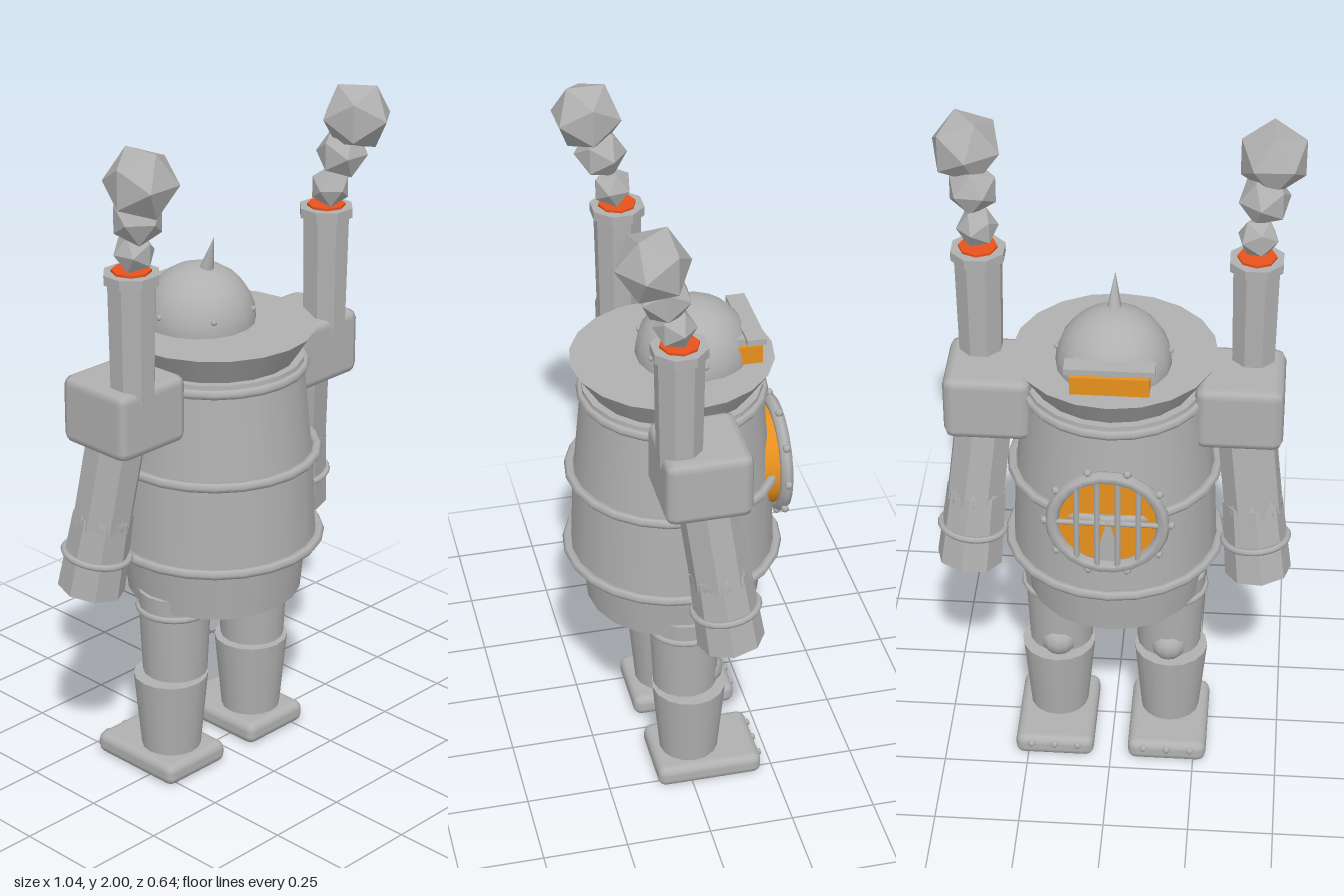
import * as THREE from 'three';
import { toCreasedNormals } from 'three/addons/utils/BufferGeometryUtils.js';
import { RoundedBoxGeometry } from 'three/addons/geometries/RoundedBoxGeometry.js';

const color = (name, hex) => Object.assign(new THREE.MeshStandardMaterial({ color: hex }), { name });

export function createModel() {
  const model = new THREE.Group();
  model.name = 'boilerRobot';
  const iron = color('iron grey', 0xb0b0b0);
  const amber = color('amber glow', 0xf0961e);
  const ember = color('ember orange', 0xf0561e);

  const add = (parent, name, geometry, material, x = 0, y = 0, z = 0) => {
    const mesh = new THREE.Mesh(geometry, material);
    mesh.name = name;
    mesh.position.set(x, y, z);
    parent.add(mesh);
    return mesh;
  };
  const group = (parent, name) => {
    const g = new THREE.Group();
    g.name = name;
    parent.add(g);
    return g;
  };
  const ring = (parent, name, radius, tube, x, y, z) => {
    const m = add(parent, name, new THREE.TorusGeometry(radius, tube, 6, 24), iron, x, y, z);
    m.rotation.x = Math.PI / 2;
    return m;
  };
  // Faceted tapered tube running between two points
  const UP = new THREE.Vector3(0, 1, 0);
  const limb = (parent, name, from, to, rFrom, rTo, sides = 8) => {
    const a = new THREE.Vector3(...from), b = new THREE.Vector3(...to);
    const dir = b.clone().sub(a);
    const geo = new THREE.CylinderGeometry(rTo, rFrom, dir.length(), sides).rotateY(Math.PI / sides);
    const m = add(parent, name, toCreasedNormals(geo, 0.4), iron, ...a.clone().add(b).multiplyScalar(0.5).toArray());
    m.quaternion.setFromUnitVectors(UP, dir.normalize());
    return m;
  };

  // Boiler torso, hips and collar
  const torso = group(model, 'torso');
  add(torso, 'upperBoiler', new THREE.CylinderGeometry(0.257, 0.285, 0.295, 20), iron, 0, 1.1275, 0);
  add(torso, 'lowerBoiler', new THREE.CylinderGeometry(0.287, 0.298, 0.27, 20), iron, 0, 0.85, 0);
  add(torso, 'hips', new THREE.CylinderGeometry(0.272, 0.254, 0.18, 20), iron, 0, 0.64, 0);
  add(torso, 'collar', new THREE.CylinderGeometry(0.29, 0.235, 0.085, 20), iron, 0, 1.3175, 0);
  [[1.25, 0.258], [0.985, 0.297], [0.72, 0.307]].forEach(([y, r]) => ring(torso, 'boilerBand', r, 0.015, 0, y, 0));

  // Domed head with spike, bolts and visor, facing -z
  const head = group(model, 'head');
  head.position.set(0, 1.365, -0.06);
  add(head, 'dome', new THREE.SphereGeometry(0.163, 18, 14), iron);
  add(head, 'spike', new THREE.ConeGeometry(0.026, 0.13, 8), iron, 0, 0.192, 0.042).rotation.x = 0.28;
  for (const a of [0, Math.PI / 3, 2 * Math.PI / 3, Math.PI]) {
    add(head, 'headBolt', new THREE.SphereGeometry(0.009, 6, 5), iron,
      0.158 * Math.cos(a), 0.04, 0.158 * Math.sin(a));
  }
  add(head, 'visorGlow', new THREE.BoxGeometry(0.22, 0.055, 0.07), amber, 0, 0.028, -0.14);
  add(head, 'visorHood', new THREE.BoxGeometry(0.25, 0.018, 0.055), iron, 0, 0.077, -0.1535);
  add(head, 'visorMount', new THREE.BoxGeometry(0.2, 0.03, 0.08), iron, 0, 0.062, -0.115);

  // Round furnace grate on the chest
  const furnace = group(model, 'furnace');
  furnace.position.set(0, 0.98, -0.302);
  const glow = add(furnace, 'furnaceGlow', new THREE.CylinderGeometry(0.148, 0.148, 0.1, 20), amber, 0, 0, 0.065);
  glow.rotation.x = Math.PI / 2;
  add(furnace, 'grateRim', new THREE.TorusGeometry(0.157, 0.019, 6, 22), iron);
  for (const x of [-0.087, -0.029, 0.029, 0.087]) {
    const h = 2 * Math.sqrt(0.157 ** 2 - x * x);
    add(furnace, 'grateBar', new THREE.CylinderGeometry(0.009, 0.009, h, 6), iron, x, 0, -0.008);
  }
  add(furnace, 'grateCrossbar', new THREE.CylinderGeometry(0.008, 0.008, 0.31, 6), iron, 0, 0, -0.004).rotation.z = Math.PI / 2;
  for (let i = 0; i < 10; i++) {
    const a = (i / 10) * Math.PI * 2;
    add(furnace, 'rimBolt', new THREE.SphereGeometry(0.012, 6, 5), iron, 0.178 * Math.cos(a), 0.178 * Math.sin(a), 0);
  }

  for (const s of [1, -1]) {
    const side = s > 0 ? 'left' : 'right';

    // Leg: thigh, knee, shin and riveted foot
    const leg = group(model, side + 'Leg');
    add(leg, 'thigh', new THREE.CylinderGeometry(0.108, 0.095, 0.27, 16), iron, s * 0.163, 0.455, 0);
    ring(leg, 'thighBand', 0.106, 0.01, s * 0.163, 0.53, 0);
    add(leg, 'kneeCap', new THREE.SphereGeometry(0.055, 12, 8), iron, s * 0.165, 0.35, -0.06);
    add(leg, 'shin', new THREE.CylinderGeometry(0.11, 0.087, 0.245, 16), iron, s * 0.17, 0.183, -0.011);
    add(leg, 'foot', new RoundedBoxGeometry(0.236, 0.068, 0.318, 2, 0.026), iron, s * 0.17, 0.036, -0.054);
    for (const dx of [-0.07, 0, 0.07]) {
      add(leg, 'toeRivet', new THREE.SphereGeometry(0.012, 6, 5), iron, s * 0.17 + dx, 0.048, -0.21);
    }

    // Arm: boxy shoulder, bent faceted arm and cuff
    const arm = group(model, side + 'Arm');
    add(arm, 'shoulder', new RoundedBoxGeometry(0.25, 0.2, 0.248, 1, 0.028), iron, s * 0.355, 1.21, 0.002);
    limb(arm, 'upperArm', [s * 0.372, 1.15, -0.008], [s * 0.405, 0.86, -0.045], 0.086, 0.086);
    limb(arm, 'forearm', [s * 0.4, 0.89, -0.042], [s * 0.424, 0.655, -0.073], 0.087, 0.097);
    add(arm, 'elbow', new THREE.SphereGeometry(0.087, 8, 6), iron, s * 0.402, 0.875, -0.043);
    const cuff = ring(arm, 'cuff', 0.094, 0.01, s * 0.413, 0.765, -0.059);
    cuff.rotation.set(Math.PI / 2 + 0.13, s * 0.1, 0);

    // Smokestack on the shoulder with rising puffs
    const stack = group(model, side + 'Smokestack');
    limb(stack, 'pipe', [s * 0.387, 1.27, 0.07], [s * 0.387, 1.625, 0.07], 0.064, 0.07);
    limb(stack, 'pipeLip', [s * 0.387, 1.608, 0.07], [s * 0.387, 1.636, 0.07], 0.08, 0.08);
    add(stack, 'embers', new THREE.CylinderGeometry(0.055, 0.055, 0.008, 8), ember, s * 0.387, 1.639, 0.07);
    const puffs = [[0.388, 1.695, 0.083, 0.06], [0.402, 1.8, 0.113, 0.076], [0.422, 1.911, 0.148, 0.105]];
    puffs.forEach(([x, y, z, r], i) => {
      add(stack, 'smokePuff', new THREE.IcosahedronGeometry(r, 0), iron, s * x, y, z).rotation.y = 0.5 + i * 0.7 + s * 0.3;
    });
  }
  return model;
}
